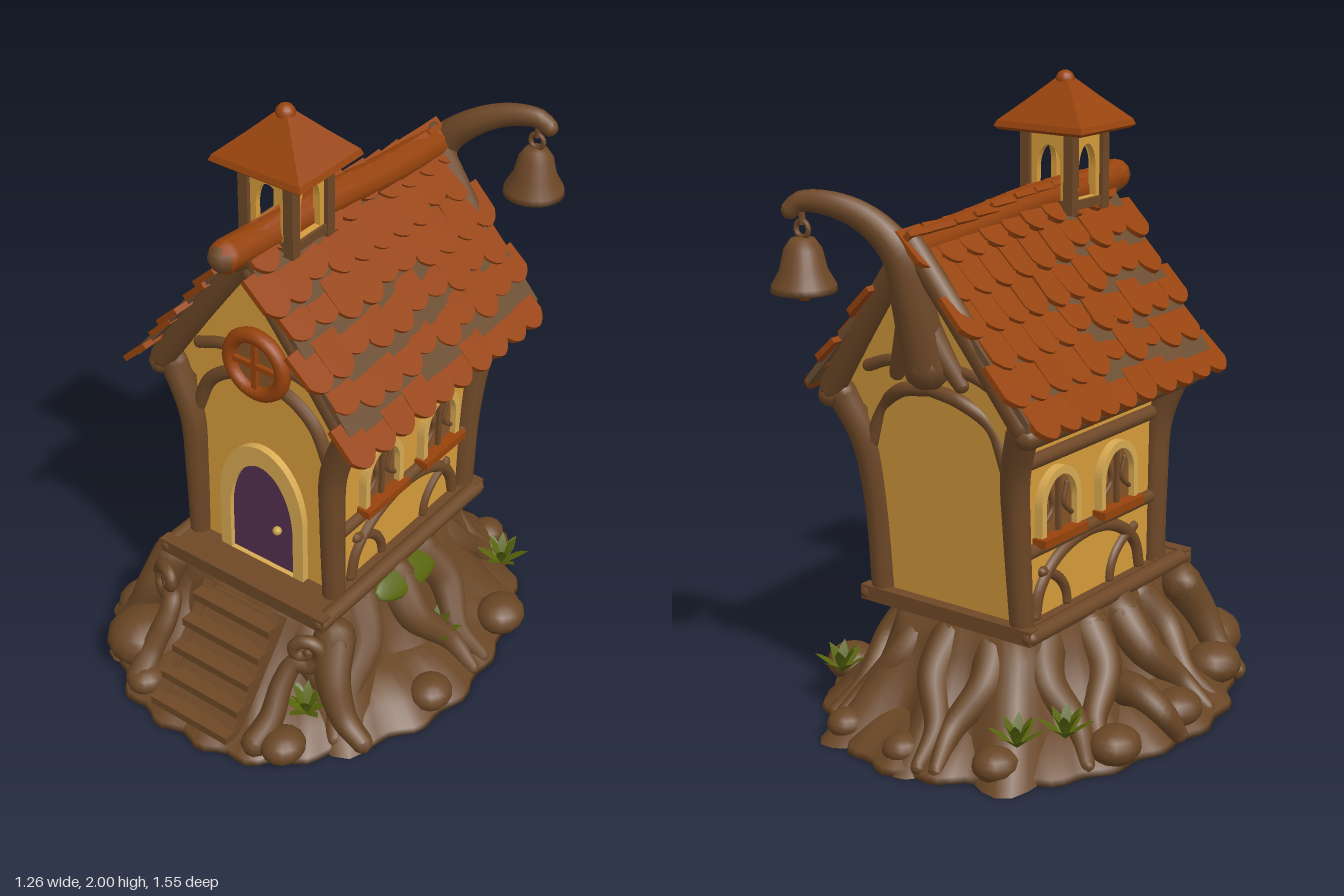
import * as THREE from 'three';
import { mergeGeometries } from 'three/addons/utils/BufferGeometryUtils.js';

const V = (x, y, z) => new THREE.Vector3(x, y, z);

export function createModel() {
  const model = new THREE.Group();
  const mat = (name, color, side = THREE.FrontSide) => {
    const m = new THREE.MeshStandardMaterial({ color, side });
    m.name = name;
    return m;
  };
  const wood = mat('timber', 0x6e4827), bark = mat('bark', 0x694625), plaster = mat('plaster', 0xd69c3c);
  const trim = mat('pale trim', 0xd8aa52), roof = mat('roof tile', 0x97430c), under = mat('roof underlay', 0x6c4e32);
  const purple = mat('door purple', 0x55304f), leaf = mat('leaf', 0x58650c, THREE.DoubleSide);
  const pane = mat('window pane', 0x855428), brass = mat('brass', 0xc9a24a);

  let seed = 7;
  const rnd = () => (seed = (seed * 16807) % 2147483647) / 2147483647;

  const add = (name, geo, m, x = 0, y = 0, z = 0, parent = model) => {
    const o = new THREE.Mesh(geo, m);
    o.name = name;
    o.position.set(x, y, z);
    parent.add(o);
    return o;
  };
  const group = (name, parent = model) => {
    const g = new THREE.Group();
    g.name = name;
    parent.add(g);
    return g;
  };
  const box = (name, w, h, d, m, x, y, z, parent) => add(name, new THREE.BoxGeometry(w, h, d), m, x, y, z, parent);
  const ball = (name, r, m, x, y, z, parent) => add(name, new THREE.SphereGeometry(r, 14, 10), m, x, y, z, parent);

  // Tapered round beam along a smooth path, with rounded ends
  const beam = (name, pts, r0, r1 = r0, m = wood, parent = model) => {
    const curve = new THREE.CatmullRomCurve3(pts), n = pts.length > 2 ? pts.length * 5 : 2;
    const geo = new THREE.TubeGeometry(curve, n, 1, 9), p = geo.attributes.position, v = V(0, 0, 0);
    for (let i = 0; i < p.count; i++) {
      const t = Math.floor(i / 10) / n, c = curve.getPointAt(t);
      v.fromBufferAttribute(p, i).sub(c).multiplyScalar(r0 + (r1 - r0) * t).add(c);
      p.setXYZ(i, v.x, v.y, v.z);
    }
    const caps = [[pts[0], r0], [pts[pts.length - 1], r1]].map(([q, r]) =>
      new THREE.SphereGeometry(r, 9, 6).translate(q.x, q.y, q.z));
    return add(name, mergeGeometries([geo, ...caps]), m, 0, 0, 0, parent);
  };
  const reshape = (geo, fn) => {
    const p = geo.attributes.position, v = V(0, 0, 0);
    for (let i = 0; i < p.count; i++) {
      fn(v.fromBufferAttribute(p, i));
      p.setXYZ(i, v.x, v.y, v.z);
    }
    geo.computeVertexNormals();
    return geo;
  };
  const arch = (w, h, rise, Type = THREE.Shape, y0 = 0) => {
    const s = new Type();
    s.moveTo(-w / 2, y0);
    s.lineTo(w / 2, y0);
    s.lineTo(w / 2, y0 + h - rise);
    s.absellipse(0, y0 + h - rise, w / 2, rise, 0, Math.PI, false);
    s.lineTo(-w / 2, y0);
    return s;
  };
  const plate = (shape, depth) => new THREE.ExtrudeGeometry(shape, { depth, bevelEnabled: false, curveSegments: 14 });
  const lathe = (pts, n) => new THREE.LatheGeometry(pts.map(([x, y]) => new THREE.Vector2(x, y)), n);

  // Scalloped ground and fluted stump
  add('ground', reshape(lathe([[0, 0], [1, 0], [0.99, 0.02], [0.88, 0.07], [0.72, 0.13], [0, 0.14]], 110), v => {
    const a = Math.atan2(v.z, v.x), k = 1 + 0.02 * Math.sin(23 * a) + 0.015 * Math.sin(7 * a);
    v.x *= 0.615 * k;
    v.z = v.z * 0.745 * k + 0.02;
  }), bark);
  add('stump', reshape(lathe([[1.7, 0], [1.47, 0.1], [1.29, 0.2], [1.15, 0.3], [1.05, 0.4], [0, 0.4]], 90), v => {
    const a = Math.atan2(v.z, v.x), k = 1 + 0.22 * (0.42 - v.y) * Math.sin(11 * a + 1);
    const square = Math.pow(Math.cos(a) ** 4 + Math.sin(a) ** 4, -0.18);
    v.x *= 0.3 * k * square;
    v.z *= 0.4 * k * square;
  }), bark);
  const roots = group('roots');
  for (let i = 0; i < 13; i++) {
    const a = Math.PI * (0.7 + 1.6 * i / 12), b = a + 0.16 * (i % 2 ? 1 : -1);
    const at = (k, ang, y) => V(Math.cos(ang) * 0.6 * k, y, Math.sin(ang) * 0.72 * k);
    beam('root', [at(0.52, a, 0.34), at(0.68, a, 0.23), at(0.82, b, 0.11), at(0.97, b, 0.028)], 0.075, 0.024, bark, roots);
  }
  const rocks = group('rocks');
  [[-0.53, 0.05, 0.08], [-0.52, -0.28, 0.08], [-0.33, 0.54, 0.12], [-0.45, 0.4, 0.09], [0.32, 0.63, 0.07], [0.53, -0.28, 0.08],
    [0.55, 0.16, 0.07], [-0.22, 0.66, 0.06], [-0.3, -0.58, 0.07], [0.25, -0.62, 0.06], [0, -0.65, 0.06]]
    .forEach(([x, z, r]) => ball('rock', r, bark, x, 0.75 * r + 0.005, z, rocks).scale.set(1, 0.75, 1.1));
  beam('archedRoot', [V(-0.4, 0.16, -0.1), V(-0.5, 0.17, -0.12), V(-0.58, 0.12, -0.11), V(-0.6, 0.035, -0.05)], 0.06, 0.03, bark);

  // Curled roots beside the stairs
  for (const s of [-1, 1]) {
    const pts = [];
    for (let k = 0; k <= 11; k++) {
      const a = k * 0.75 + 3.2, r = 0.012 + 0.0045 * k;
      pts.push(V(s * (0.28 - Math.cos(a) * r), 0.31 + Math.sin(a) * r, 0.47 + Math.cos(a) * r * 0.5));
    }
    pts.push(V(s * 0.24, 0.2, 0.53), V(s * 0.25, 0.11, 0.6), V(s * 0.24, 0.05, 0.67));
    beam('curledRoot', pts, 0.016, 0.046, bark);
    beam('stairRoot', [V(s * 0.33, 0.33, 0.38), V(s * 0.37, 0.22, 0.44), V(s * 0.43, 0.1, 0.46), V(s * 0.5, 0.04, 0.46)], 0.07, 0.035, bark);
  }

  // Moss and ferns
  const moss = ball('moss', 1, leaf, 0.35, 0.355, 0.02);
  moss.scale.set(0.06, 0.025, 0.17);
  moss.rotation.set(-0.1, 0, -0.8);
  const blade = new THREE.Shape();
  blade.moveTo(0, 0);
  blade.quadraticCurveTo(0.034, 0.055, 0, 0.105);
  blade.quadraticCurveTo(-0.034, 0.055, 0, 0);
  const bladeGeo = reshape(new THREE.ShapeGeometry(blade, 5), v => { v.z = v.y * v.y * 2.5; });
  [[0.32, 0.1, 0.51], [0.45, 0.11, -0.01], [0.42, 0.11, -0.45], [-0.34, 0.1, -0.53], [-0.43, 0.11, -0.41]].forEach(([x, y, z]) => {
    const fern = group('fern');
    fern.position.set(x, y, z);
    for (let i = 0; i < 12; i++) {
      const b = add('leaf', bladeGeo, leaf, 0, 0, 0, fern);
      b.rotation.set(i % 2 ? 0.25 : 0.7, i * 0.5236, 0, 'YXZ');
    }
  });

  // Deck and stairs
  box('deck', 0.62, 0.03, 0.86, wood, 0, 0.415, -0.005);
  for (const s of [-1, 1]) {
    beam('deckSideBeam', [V(s * 0.31, 0.41, 0.42), V(s * 0.315, 0.41, -0.43)], 0.027);
    box('deckEndBeam', 0.66, 0.048, 0.04, wood, 0, 0.412, s > 0 ? 0.42 : -0.43);
  }
  const stairs = group('stairs');
  for (let i = 0; i < 5; i++) box('tread', 0.31, 0.028, 0.075, wood, 0.02, 0.345 - 0.071 * i, 0.475 + 0.055 * i, stairs);
  for (const [x, w] of [[-0.115, 0.035], [0.155, 0.035], [0.02, 0.24]]) {
    const s = box(w > 0.1 ? 'stairBack' : 'stringer', w, 0.05, 0.42, wood, x, w > 0.1 ? 0.185 : 0.2, 0.565, stairs);
    s.rotation.x = 0.9;
  }

  // Plaster body, leaning outwards at the back
  const body = new THREE.Shape([[-0.265, 0.42], [0.265, 0.42], [0.265, 1.03], [0.335, 1.09], [0, 1.56], [-0.335, 1.09], [-0.265, 1.03]]
    .map(([x, y]) => new THREE.Vector2(x, y)));
  add('walls', reshape(plate(body, 0.7).translate(0, 0, -0.4), v => { if (v.z < 0) v.z -= 0.12 * (v.y - 0.42); }), plaster);

  // Timber frame
  const frame = group('timberFrame');
  for (const s of [-1, 1]) {
    beam('frontPost', [V(s * 0.27, 0.43, 0.305), V(s * 0.268, 0.7, 0.31), V(s * 0.275, 0.9, 0.315), V(s * 0.335, 1.07, 0.32)], 0.037, 0.046, wood, frame);
    beam('backPost', [V(s * 0.27, 0.43, -0.41), V(s * 0.268, 0.72, -0.43), V(s * 0.285, 0.92, -0.46), V(s * 0.34, 1.07, -0.5)], 0.037, 0.048, wood, frame);
    beam('eaveLog', [V(s * 0.37, 1.065, 0.34), V(s * 0.37, 1.065, -0.52)], 0.04, 0.04, wood, frame);
    for (const [y, r] of [[0.93, 0.024], [0.65, 0.022]])
      beam('sideRail', [V(s * 0.268, y, 0.29), V(s * 0.268, y, -0.42)], r, r, wood, frame);
    const arc = (zc, w, h, a0, a1) => Array.from({ length: 9 }, (_, i) => {
      const a = a0 + (a1 - a0) * i / 8;
      return V(s * 0.267, 0.44 + Math.sin(a) * h, zc + Math.cos(a) * w);
    });
    beam('sideArch', arc(-0.065, 0.28, 0.195, 0, Math.PI), 0.021, 0.021, wood, frame);
    beam('sideBrace', arc(0.25, 0.2, 0.14, Math.PI, 1.9), 0.017, 0.017, wood, frame);
    beam('sideBrace', arc(-0.38, 0.2, 0.14, 0, 1.2), 0.017, 0.017, wood, frame);
    for (const [z0, z1, zw, lean] of [[0.34, 0.36, 0.305, 0], [-0.52, -0.57, -0.46, -0.03]]) {
      beam('rake', [V(s * 0.36, 1.09, z0), V(s * 0.19, 1.33, (z0 + z1) / 2), V(0, 1.585, z1)], 0.042, 0.037, wood, frame);
      beam('gableArch', [V(s * 0.26, 0.92, zw), V(s * 0.2, 1.05, zw), V(s * 0.11, 1.115, zw + lean), V(0, 1.135, zw + lean)], 0.024, 0.022, wood, frame);
      beam('gableBrace', [V(s * 0.24, 1.17, zw + lean), V(s * 0.16, 1.2, zw + lean), V(0, 1.22, zw + lean)], 0.02, 0.02, wood, frame);
    }
  }

  // Door
  const doorTrim = arch(0.33, 0.45, 0.24);
  doorTrim.holes.push(arch(0.25, 0.38, 0.22, THREE.Path));
  add('doorTrim', plate(doorTrim, 0.03), trim, 0, 0.43, 0.295);
  add('door', plate(arch(0.25, 0.38, 0.22), 0.009), purple, 0, 0.43, 0.299);
  ball('doorKnob', 0.015, brass, 0.06, 0.585, 0.32);

  // Round gable window
  const round = group('roundWindow');
  round.position.set(0, 1.2, 0.33);
  add('rim', new THREE.TorusGeometry(0.1, 0.025, 10, 32), roof, 0, 0, 0, round);
  add('pane', new THREE.CylinderGeometry(0.1, 0.1, 0.03, 28).rotateX(Math.PI / 2), pane, 0, 0, -0.015, round);
  box('mullion', 0.018, 0.2, 0.02, roof, 0, 0, 0.005, round);
  box('mullion', 0.2, 0.018, 0.02, roof, 0, 0, 0.005, round);

  // Arched side windows
  for (const s of [-1, 1]) for (const z of [0.07, -0.24]) {
    const w = group('sideWindow');
    w.position.set(s * 0.263, 0.675, z);
    w.rotation.y = s * Math.PI / 2;
    const surround = arch(0.2, 0.215, 0.11);
    surround.holes.push(arch(0.155, 0.19, 0.09, THREE.Path));
    add('surround', plate(surround, 0.03), trim, 0, 0, 0, w);
    add('pane', plate(arch(0.155, 0.19, 0.09), 0.009), pane, 0, 0, 0, w);
    box('sill', 0.22, 0.026, 0.05, roof, 0, 0, 0.025, w);
    box('mullion', 0.016, 0.18, 0.02, wood, 0, 0.09, 0.012, w);
    for (const k of [-1, 1])
      beam('mullion', [V(k * 0.07, 0.05, 0.014), V(k * 0.03, 0.09, 0.014), V(k * 0.045, 0.15, 0.014)], 0.008, 0.008, wood, w);
  }

  // Sagging roof: underlay with pointed tiles, some short enough to leave gaps
  const ridgeY = z => 1.59 + 0.03 * Math.sin(THREE.MathUtils.clamp((z + 0.15) * 4, -1.5, 1.5));
  const tile = new THREE.Shape();
  tile.moveTo(-0.054, 0.15);
  tile.lineTo(-0.054, 0.04);
  tile.quadraticCurveTo(-0.032, 0.004, 0, 0);
  tile.quadraticCurveTo(0.032, 0.004, 0.054, 0.04);
  tile.lineTo(0.054, 0.15);
  const tileGeo = new THREE.ExtrudeGeometry(tile, { depth: 0.018, bevelEnabled: false, curveSegments: 4 });
  const pitch = 0.88;
  for (const s of [-1, 1]) {
    const slab = new THREE.BoxGeometry(1, 0.03, 0.97, 2, 1, 12).translate(0, 0, -0.09);
    add('roofUnderlay', reshape(slab, v => {
      const t = s * v.x + 0.5;
      v.x = s * 0.415 * t;
      v.y += (ridgeY(v.z) + 0.015) * (1 - t) + 1.11 * t;
    }), under);
    const tiles = [];
    for (let r = 0; r < 6; r++) for (let c = 0; c < 10; c++) {
      const t = (r + 1) / 6, z = 0.365 - c * 0.1 + (r % 2 ? 0.02 : -0.02) + (rnd() - 0.5) * 0.012;
      const o = new THREE.Object3D();
      const X = V(0, 0, -s), Y = V(-s * Math.cos(pitch), Math.sin(pitch), 0), Z = V(s * Math.sin(pitch), Math.cos(pitch), 0);
      o.quaternion.setFromRotationMatrix(new THREE.Matrix4().makeBasis(X, Y, Z));
      o.position.set(s * 0.455 * t, ridgeY(z) * (1 - t) + 1.03 * t + 0.035, z);
      o.rotateX(-0.08 - rnd() * 0.05);
      o.rotateZ((rnd() - 0.5) * 0.12);
      o.scale.y = r < 5 && rnd() < 0.22 ? 0.8 : 1;
      o.translateY(0.15 * (1 - o.scale.y));
      o.updateMatrix();
      tiles.push(tileGeo.clone().applyMatrix4(o.matrix));
    }
    add('roofTiles', mergeGeometries(tiles), roof);
  }
  beam('ridgeLog', [V(0, 1.638, 0.45), V(0, 1.622, 0.25), V(0.01, 1.614, 0), V(0.015, 1.582, -0.3), V(0.01, 1.562, -0.56)], 0.052, 0.054, roof);
  beam('ridgeEnd', [V(0, 1.6, 0.36), V(0, 1.638, 0.46)], 0.046);

  // Open belfry
  const belfry = group('belfry');
  belfry.position.set(0, 0, 0.175);
  const opening = arch(0.16, 0.245, 0.001);
  opening.holes.push(arch(0.09, 0.165, 0.08, THREE.Path, 0.03));
  for (let i = 0; i < 4; i++) {
    const side = group('belfrySide', belfry);
    side.rotation.y = i * Math.PI / 2;
    add('wall', plate(opening, 0.02), plaster, 0, 1.585, 0.065, side);
    box('post', 0.034, 0.26, 0.034, wood, 0.082, 1.7, 0.082, side);
    box('rail', 0.17, 0.028, 0.03, wood, 0, 1.598, 0.08, side);
  }
  const cap = lathe([[0, 1.835], [0.205, 1.82], [0.222, 1.83], [0.212, 1.848], [0.115, 1.914], [0.03, 1.975], [0, 1.98]], 4)
    .rotateY(Math.PI / 4).scale(1.05, 1, 0.94).toNonIndexed();
  cap.computeVertexNormals();
  add('belfryRoof', cap, roof, 0, 0, 0, belfry);
  ball('finial', 0.03, roof, 0, 1.97, 0, belfry);

  // Branch growing from the back gable, carrying the bell
  beam('branch', [V(-0.02, 1.22, -0.53), V(0, 1.42, -0.57), V(0.03, 1.56, -0.595), V(0.12, 1.645, -0.62), V(0.22, 1.685, -0.66), V(0.31, 1.685, -0.69), V(0.34, 1.66, -0.7)], 0.075, 0.028);
  for (const s of [-1, 1])
    beam('branchRoot', [V(0, 1.4, -0.56), V(s * 0.06, 1.28, -0.53), V(s * 0.12, 1.17, -0.5)], 0.05, 0.025);
  const bell = group('bell');
  bell.position.set(0.305, 0, -0.69);
  add('shell', lathe([[0.075, 1.43], [0.098, 1.425], [0.095, 1.445], [0.07, 1.49], [0.056, 1.55], [0.035, 1.58], [0, 1.585]], 24), wood, 0, 0, 0, bell);
  add('bellInside', lathe([[0, 1.56], [0.045, 1.54], [0.075, 1.43]], 24), wood, 0, 0, 0, bell);
  ball('clapper', 0.03, roof, 0, 1.425, 0, bell);
  add('ring', new THREE.TorusGeometry(0.024, 0.008, 8, 16), wood, 0, 1.607, 0, bell);
  add('hanger', new THREE.CylinderGeometry(0.01, 0.01, 0.06, 8), wood, 0, 1.65, 0, bell);
  return model;
}
